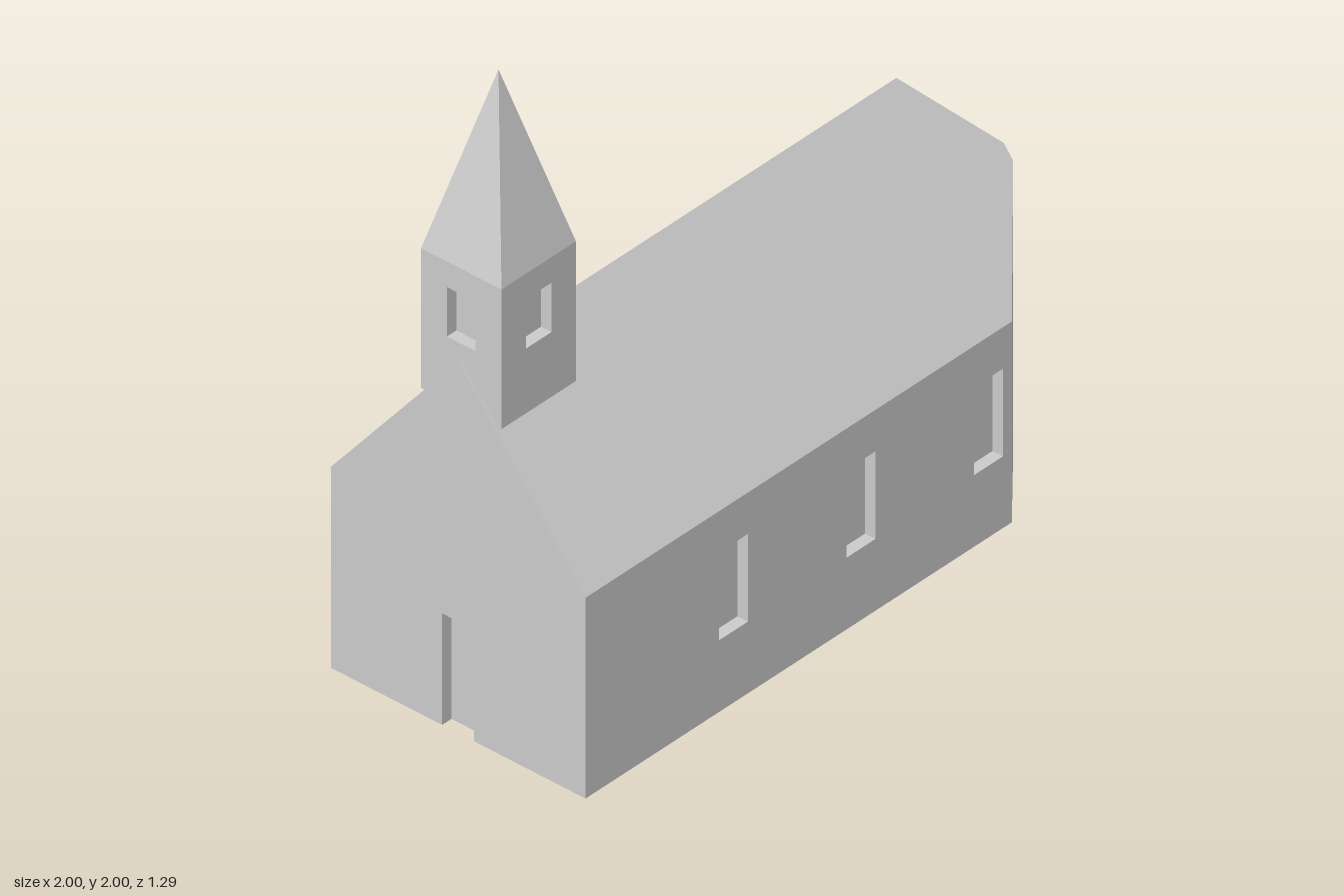
import * as THREE from 'three';

const stone = new THREE.MeshStandardMaterial({ color: 0xcccccc });
stone.name = 'pale grey';

// Nave: west end at x = 0, ridge along x, half width W
const L = 1.643, W = 0.437, EAVES = 0.63, RIDGE = 1.165;
const APSE_X = 1.895, APSE_W = 0.2175, HIP_X = 1.689, HIP_W = 0.185, HIP_Y = 0.939;
const roofY = (z) => RIDGE - (Math.abs(z) / W) * (RIDGE - EAVES);
const DEPTH = 0.036;

function named(geometry, name) {
  const m = new THREE.Mesh(geometry, stone);
  m.name = name;
  return m;
}

// Flat convex face, corners counter-clockwise from outside; mirrored flips it across z
function face(name, points, mirrored = false) {
  const p = points.map(([x, y, z]) => new THREE.Vector3(x, y, mirrored ? -z : z));
  if (mirrored) p.reverse();
  const tris = [];
  for (let i = 1; i < p.length - 1; i++) tris.push(p[0], p[i], p[i + 1]);
  const g = new THREE.BufferGeometry().setFromPoints(tris);
  g.computeVertexNormals();
  return named(g, name);
}

// Sunken opening: pane and reveals; a door has no sill
function recess(name, [x0, x1, y0, y1], door) {
  const g = new THREE.Group();
  g.name = name;
  const d = -DEPTH;
  g.add(
    face('pane', [[x0, y0, d], [x1, y0, d], [x1, y1, d], [x0, y1, d]]),
    face('leftReveal', [[x0, y0, 0], [x0, y0, d], [x0, y1, d], [x0, y1, 0]]),
    face('rightReveal', [[x1, y0, d], [x1, y0, 0], [x1, y1, 0], [x1, y1, d]]),
    face('lintel', [[x0, y1, d], [x1, y1, d], [x1, y1, 0], [x0, y1, 0]])
  );
  if (!door) g.add(face('sill', [[x0, y0, 0], [x1, y0, 0], [x1, y0, d], [x0, y0, d]]));
  return g;
}

// Wall facing local +z with window openings cut through it
function wall(name, outline, windows = []) {
  const g = new THREE.Group();
  g.name = name;
  const shape = new THREE.Shape(outline.map(([x, y]) => new THREE.Vector2(x, y)));
  for (const [x0, x1, y0, y1] of windows) {
    shape.holes.push(new THREE.Path([[x0, y0], [x0, y1], [x1, y1], [x1, y0]].map(([x, y]) => new THREE.Vector2(x, y))));
  }
  g.add(named(new THREE.ShapeGeometry(shape), 'wallFace'));
  for (const w of windows) g.add(recess('window', w));
  return g;
}

function place(object, x, z, angle) {
  object.position.set(x, 0, z);
  object.rotation.y = angle;
  return object;
}

const rect = (x0, x1, y0, y1) => [[x0, y0], [x1, y0], [x1, y1], [x0, y1]];

function buildNave() {
  const nave = new THREE.Group();
  nave.name = 'nave';

  // Long walls with three windows each
  const starts = [0.515, 1.006, 1.498], ww = 0.111;
  nave.add(
    place(wall('frontWall', rect(0, L, 0, EAVES), starts.map((s) => [s, s + ww, 0.225, 0.5])), 0, W, 0),
    place(wall('backWall', rect(-L, 0, 0, EAVES), starts.map((s) => [-s - ww, -s, 0.225, 0.5])), 0, -W, Math.PI)
  );

  // Gable with a doorway notch
  const dw = 0.055, dh = 0.35;
  const gable = wall('gable', [[-W, 0], [-dw, 0], [-dw, dh], [dw, dh], [dw, 0], [W, 0], [W, EAVES], [0, RIDGE], [-W, EAVES]]);
  gable.add(recess('door', [-dw, dw, 0, dh], true));
  nave.add(place(gable, 0, 0, -Math.PI / 2));

  // Roof slopes and slanted apse walls, mirrored front to back
  const shoulder = roofY(APSE_W);
  for (const m of [false, true]) {
    nave.add(
      face('roofSlope', [[0, RIDGE, 0], [0, EAVES, W], [L, EAVES, W], [APSE_X, shoulder, APSE_W],
        [APSE_X, HIP_Y, HIP_W], [HIP_X, RIDGE, 0]], m),
      face('apseSideWall', [[L, 0, W], [APSE_X, 0, APSE_W], [APSE_X, shoulder, APSE_W], [L, EAVES, W]], m)
    );
  }
  // End wall and hip
  nave.add(
    face('apseEndWall', [[APSE_X, 0, APSE_W], [APSE_X, 0, -APSE_W], [APSE_X, shoulder, -APSE_W],
      [APSE_X, HIP_Y, -HIP_W], [APSE_X, HIP_Y, HIP_W], [APSE_X, shoulder, APSE_W]]),
    face('hip', [[HIP_X, RIDGE, 0], [APSE_X, HIP_Y, HIP_W], [APSE_X, HIP_Y, -HIP_W]])
  );

  // Underside, notched at the doorway
  const plan = [[0, -W], [L, -W], [APSE_X, -APSE_W], [APSE_X, APSE_W], [L, W], [0, W],
    [0, dw], [DEPTH, dw], [DEPTH, -dw], [0, -dw]];
  const floor = new THREE.ShapeGeometry(new THREE.Shape(plan.map(([x, z]) => new THREE.Vector2(x, z))));
  floor.rotateX(Math.PI / 2);
  nave.add(named(floor, 'floor'));
  return nave;
}

function buildTower() {
  const tower = new THREE.Group();
  tower.name = 'tower';
  const hx = 0.1435, hz = 0.138, y0 = 1.012, y1 = 1.45;
  const win = [[-0.049, 0.049, 1.215, 1.37]];

  // Windows on three sides, blank side towards the ridge
  tower.add(
    place(wall('towerFront', rect(-hx, hx, y0, y1), win), 0, hz, 0),
    place(wall('towerBack', rect(-hx, hx, y0, y1), win), 0, -hz, Math.PI),
    place(wall('towerWest', rect(-hz, hz, y0, y1), win), -hx, 0, -Math.PI / 2),
    place(wall('towerEast', rect(-hz, hz, y0, y1)), hx, 0, Math.PI / 2),
    face('towerBase', [[-hx, y0, -hz], [hx, y0, -hz], [hx, y0, hz], [-hx, y0, hz]])
  );

  // Four-sided spire
  const h = 2 - y1;
  let spire = new THREE.ConeGeometry(Math.SQRT2, h, 4, 1, true);
  spire.rotateY(Math.PI / 4).scale(hx, 1, hz).translate(0, y1 + h / 2, 0);
  spire = spire.toNonIndexed();
  spire.computeVertexNormals();
  tower.add(named(spire, 'spire'));
  tower.position.x = 0.1555;
  return tower;
}

export function createModel() {
  const model = new THREE.Group();
  model.name = 'church';
  const building = new THREE.Group();
  building.name = 'building';
  building.add(buildNave(), buildTower());
  // The building stands turned on its plot
  building.position.set(-0.88, 0, 0.22);
  building.rotation.y = 0.2776;
  model.add(building);
  return model;
}
